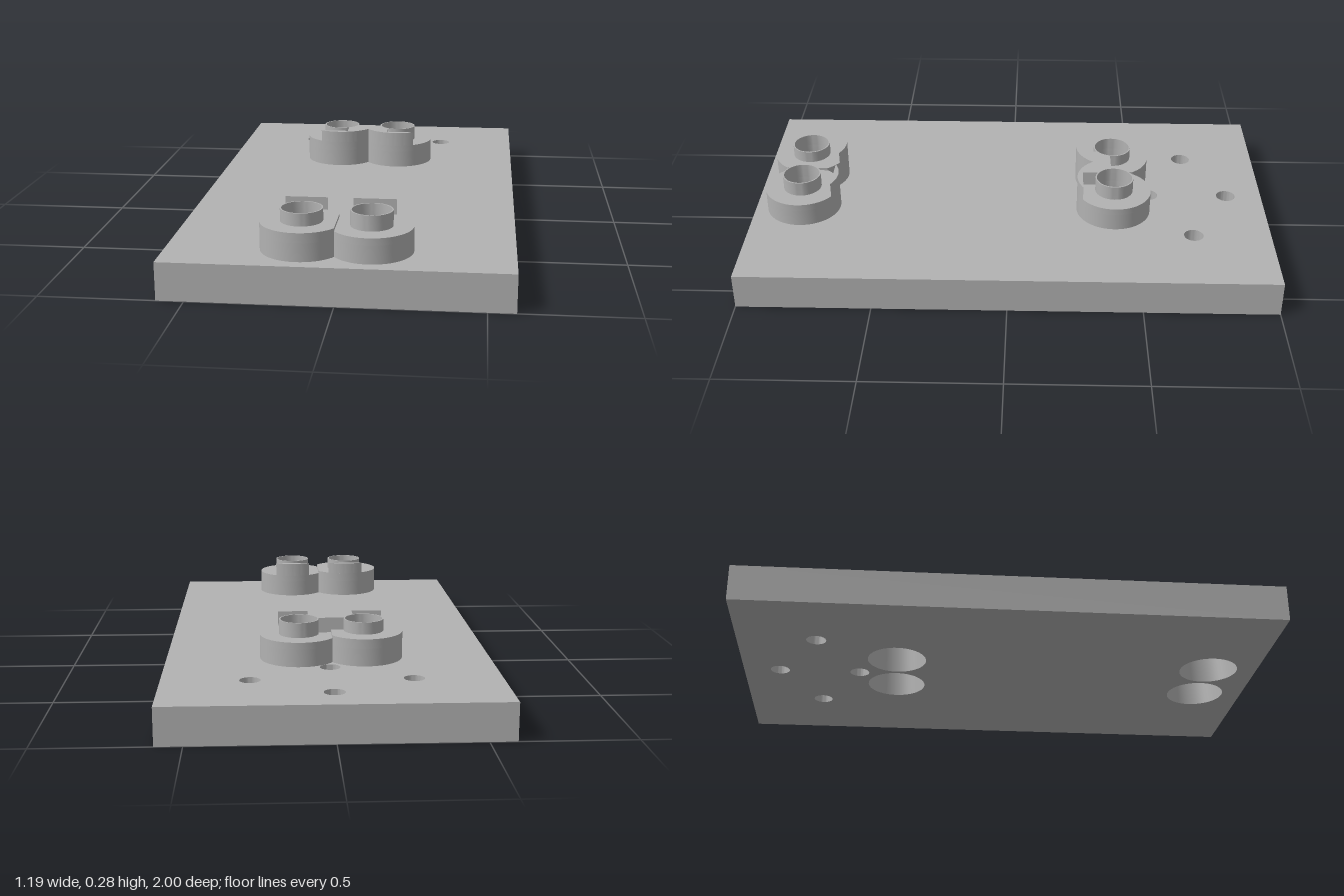
import * as THREE from 'three';
import { toCreasedNormals } from 'three/addons/utils/BufferGeometryUtils.js';

const MID = -0.011;      // x of the plane between paired bosses
const HALF = 0.119;      // boss centre distance from that plane
const R = 0.143;         // boss radius
const COLLAR = 0.073, BORE = 0.068, SOCKET = 0.112;
const PLATE_TOP = 0.135, SOCKET_TOP = 0.2, TOP = 0.28;

// Points on an arc, in plan coordinates (x, v) with v = -z
function arc(cx, cy, r, a0, a1, n = 40) {
  return Array.from({ length: n + 1 }, (_, i) => {
    const a = a0 + (a1 - a0) * i / n;
    return new THREE.Vector2(cx + r * Math.cos(a), cy + r * Math.sin(a));
  });
}

// Upright solid from a plan outline, between two heights
function slab(points, holes, y0, y1) {
  const shape = new THREE.Shape(points);
  for (const [x, y, r] of holes) {
    shape.holes.push(new THREE.Path(arc(x, y, r, 0, Math.PI * 2, 48).slice(0, -1)));
  }
  const geo = new THREE.ExtrudeGeometry(shape, { depth: y1 - y0, bevelEnabled: false });
  geo.rotateX(-Math.PI / 2);
  geo.translate(0, y0, 0);
  return toCreasedNormals(geo, 0.6);
}

export function createModel() {
  const model = new THREE.Group();
  const grey = new THREE.MeshStandardMaterial({ color: 0xb2b2b2 });
  grey.name = 'grey';

  function add(parent, name, geo) {
    const mesh = new THREE.Mesh(geo, grey);
    mesh.name = name;
    parent.add(mesh);
  }

  // Base plate with four screw holes and two pairs of sockets
  const holes = [[0, 0.86, 0.037], [-0.285, 0.705, 0.037], [0.285, 0.705, 0.037], [0, 0.55, 0.037]];
  for (const z of [0.812, -0.405]) {
    for (const s of [-1, 1]) holes.push([MID + s * HALF, -z, SOCKET]);
  }
  const rect = [[-0.595, -1], [0.595, -1], [0.595, 1], [-0.595, 1]].map(p => new THREE.Vector2(...p));
  add(model, 'basePlate', slab(rect, holes, 0, PLATE_TOP));

  // One pair of joined bosses; tabSide is the z direction of the raised tabs
  function bossPair(name, z, tabSide, bridged) {
    const group = new THREE.Group();
    group.name = name;
    group.position.set(MID, 0, z);
    model.add(group);
    const cut = Math.acos(HALF / R);
    const tabHalf = Math.acos(0.122 / R);

    for (const s of [-1, 1]) {
      const side = s < 0 ? 'right' : 'left';
      const floor = s < 0 ? 0.235 : 0.225;
      const place = pts => pts.map(p => new THREE.Vector2(p.x * s, p.y * -tabSide));

      // Boss body, hollow below and narrowing to the bore above
      const outline = place(arc(HALF, 0, R, -Math.PI + cut, Math.PI - cut, 64));
      add(group, side + 'BossWall', slab(outline, [[s * HALF, 0, SOCKET]], PLATE_TOP, SOCKET_TOP));
      add(group, side + 'BossTop', slab(outline, [[s * HALF, 0, BORE]], SOCKET_TOP, floor));

      // Thin collar around the bore
      const ring = arc(s * HALF, 0, COLLAR, 0, Math.PI * 2, 48).slice(0, -1);
      add(group, side + 'Collar', slab(ring, [[s * HALF, 0, BORE]], floor, TOP));

      // Raised tab cut from the boss rim by a straight chord
      const tab = place(arc(HALF, 0, R, Math.PI / 2 - tabHalf, Math.PI / 2 + tabHalf, 20));
      add(group, side + 'Tab', slab(tab, [], floor, TOP));

      // Raised bridge between the collars, reaching out to the notch
      if (bridged) {
        const edge = 0.036;
        const inner = arc(HALF, 0, COLLAR, Math.PI - 0.137, Math.PI - Math.acos(edge / COLLAR), 12);
        const outer = arc(HALF, 0, R, Math.PI - Math.acos(edge / R), Math.PI - cut, 12);
        const bridge = place([new THREE.Vector2(0, 0.01), ...inner, ...outer]);
        add(group, side + 'Bridge', slab(bridge, [], floor, TOP));
      }
    }
  }

  bossPair('frontBosses', 0.812, -1, false);
  bossPair('backBosses', -0.405, 1, true);
  return model;
}
